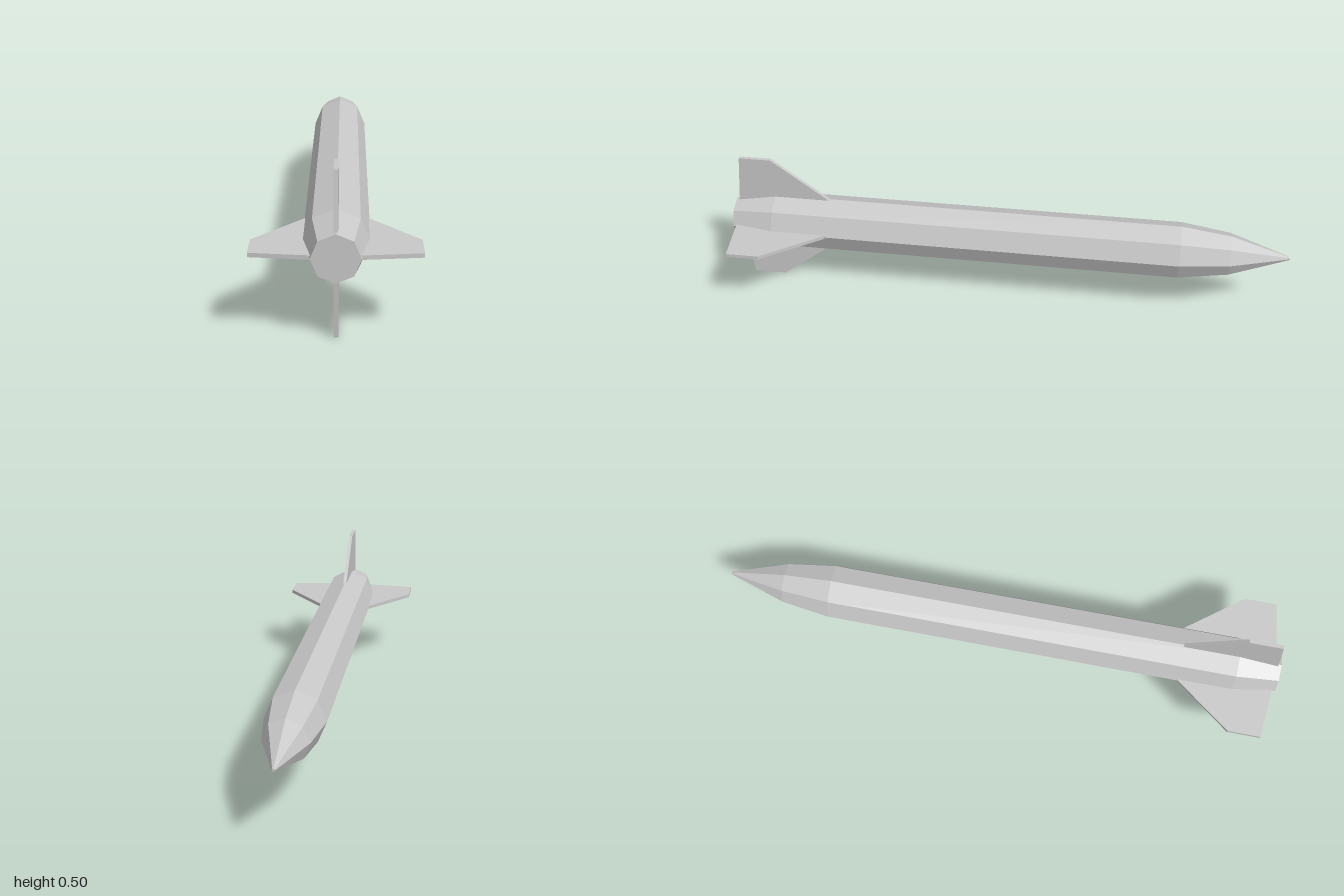
import * as THREE from 'three';

export function createModel() {
  const model = new THREE.Group();
  model.name = 'rocket';
  const grey = new THREE.MeshStandardMaterial({ color: 0xc8c8c8, flatShading: true });
  grey.name = 'light grey';
  const axisY = 0.251;

  // Eight-sided body from pointed nose to tapered tail: [radius, z]
  const profile = [[0, -1], [0.005, -1], [0.075, -0.79], [0.1, -0.615], [0.1, 0.85], [0.073, 1], [0, 1]]
    .map(([r, z]) => new THREE.Vector2(r, z));
  const bodyGeometry = new THREE.LatheGeometry(profile, 8).rotateX(Math.PI / 2);
  const body = new THREE.Mesh(bodyGeometry, grey);
  body.name = 'body';
  body.position.y = axisY;
  model.add(body);

  // Swept fin outline: [z, distance from axis]
  const outline = [[0.62, 0.072], [0.988, 0.072], [0.968, 0.251], [0.853, 0.251], [0.655, 0.1]]
    .map(([z, r]) => new THREE.Vector2(z, r));
  const thickness = 0.013;
  const finGeometry = new THREE.ExtrudeGeometry(new THREE.Shape(outline), { depth: thickness, bevelEnabled: false })
    .translate(0, 0, -thickness / 2)
    .rotateY(-Math.PI / 2);

  // Four fins around the tail
  ['topFin', 'rightFin', 'bottomFin', 'leftFin'].forEach((name, i) => {
    const fin = new THREE.Mesh(finGeometry, grey);
    fin.name = name;
    fin.position.y = axisY;
    fin.rotation.z = i * Math.PI / 2;
    model.add(fin);
  });
  return model;
}
